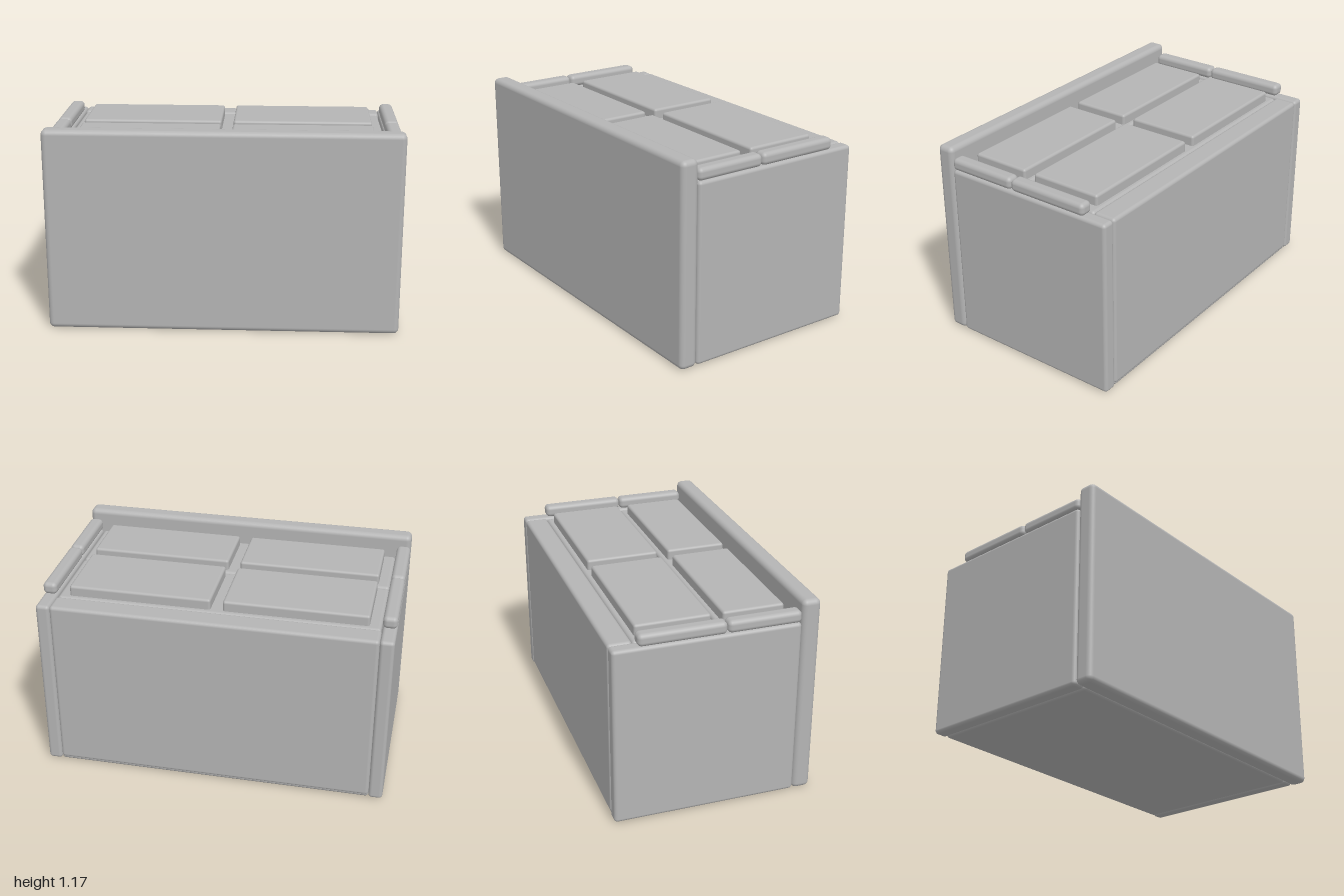
import * as THREE from 'three';
import { RoundedBoxGeometry } from 'three/addons/geometries/RoundedBoxGeometry.js';

export function createModel() {
  const model = new THREE.Group();
  model.name = 'loungeBox';
  const grey = new THREE.MeshStandardMaterial({ color: 0xb4b4b4 });
  grey.name = 'plain grey';

  // Rounded slab given by its extents on each axis
  function slab(name, [x0, x1], [y0, y1], [z0, z1], radius) {
    const geo = new RoundedBoxGeometry(x1 - x0, y1 - y0, z1 - z0, 4, radius);
    const mesh = new THREE.Mesh(geo, grey);
    mesh.name = name;
    mesh.position.set((x0 + x1) / 2, (y0 + y1) / 2, (z0 + z1) / 2);
    model.add(mesh);
  }

  // Tall front panel, lower back panel and the base between them
  slab('frontPanel', [-1, 1], [0, 1.17], [0.47, 0.575], 0.03);
  slab('backPanel', [-0.92, 0.92], [0.02, 1.045], [-0.575, -0.44], 0.02);
  slab('base', [-0.92, 0.92], [0.005, 0.3], [-0.57, 0.47], 0.02);

  // Two deck blocks filling the top
  const rows = [
    { deck: [-0.44, 0.045], pad: [-0.41, 0.015], rail: [-0.435, 0.052] },
    { deck: [0.05, 0.465], pad: [0.08, 0.43], rail: [0.055, 0.47] },
  ];
  for (const row of rows) slab('deck', [-0.915, 0.915], [0.25, 1.04], row.deck, 0.02);

  // Side panels, rails and raised pads, mirrored left and right
  for (const s of [1, -1]) {
    const side = (a, b) => (s > 0 ? [a, b] : [-b, -a]);
    slab('sidePanel', side(0.92, 1), [0.005, 1.045], [-0.575, 0.47], 0.02);
    for (const row of rows) {
      slab('sideRail', side(0.92, 1), [1.045, 1.115], row.rail, 0.025);
      slab('pad', side(0.035, 0.85), [1.02, 1.1], row.pad, 0.015);
    }
  }
  return model;
}
